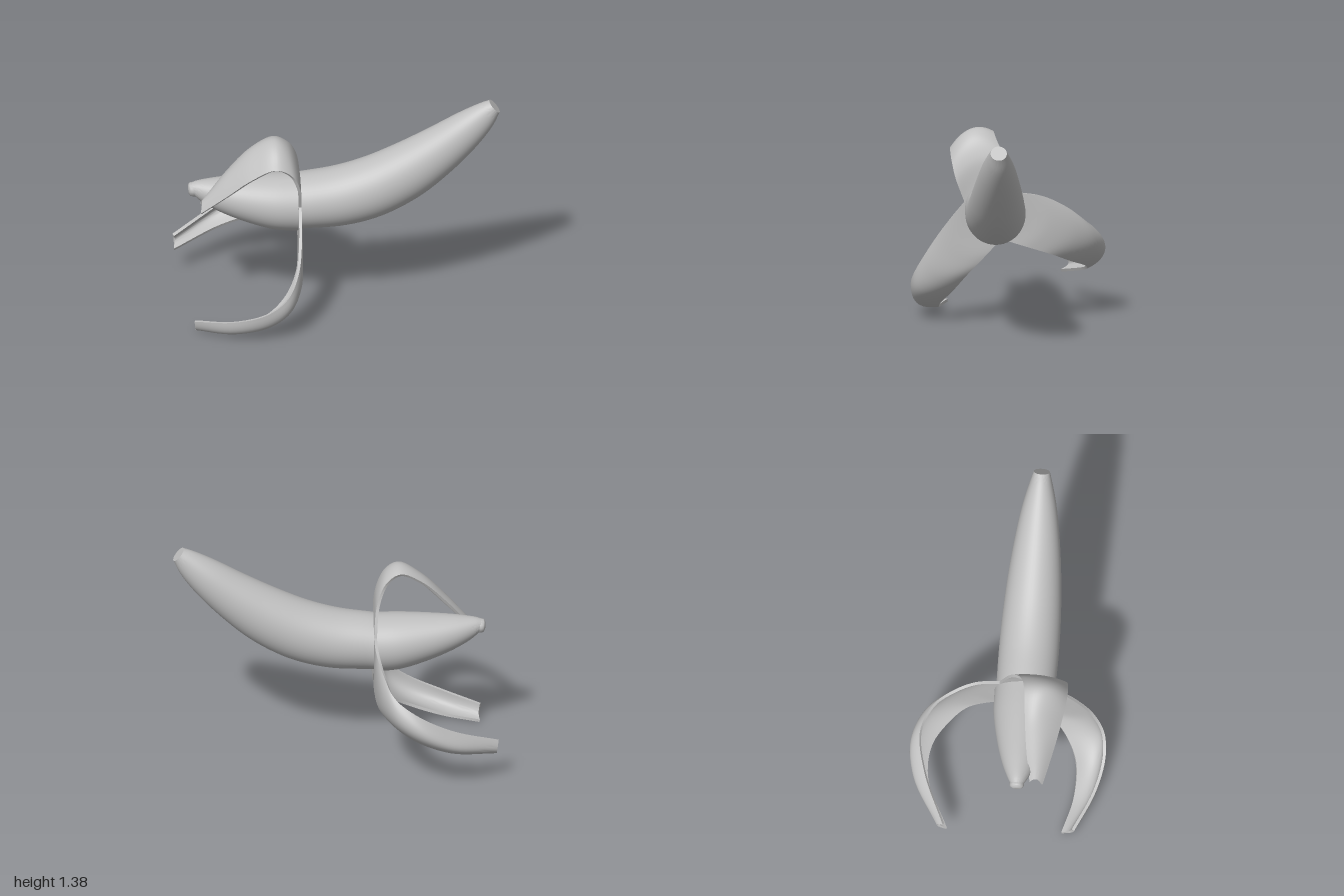
import * as THREE from 'three';
import { toCreasedNormals } from 'three/addons/utils/BufferGeometryUtils.js';

const V = (a) => new THREE.Vector3(...a);
const CENTRE_Z = 0.085;

// Closed solid from a row of loops with equal (even) point counts
function loft(loops) {
  const n = loops[0].length, last = (loops.length - 1) * n;
  const pos = loops.flat().flatMap((p) => [p.x, p.y, p.z]);
  const index = [];
  const quad = (a, b, c, d) => index.push(a, b, c, a, c, d);
  for (let j = 0; j < last; j += n)
    for (let i = 0; i < n; i++) {
      const k = (i + 1) % n;
      quad(j + i, j + k, j + n + k, j + n + i);
    }
  // end caps, zipped across the loop
  for (let i = 0; i < n / 2 - 1; i++) {
    quad(last + i, last + i + 1, last + n - 2 - i, last + n - 1 - i);
    quad(n - 1 - i, n - 2 - i, i + 1, i);
  }
  const g = new THREE.BufferGeometry();
  g.setAttribute('position', new THREE.Float32BufferAttribute(pos, 3));
  g.setIndex(index);
  return toCreasedNormals(g, 0.7);
}

// Bent tapering body: each section is [topX, topY, bottomX, bottomY, halfWidth]
function tapered(sections, steps = 40, sides = 48) {
  const top = new THREE.CatmullRomCurve3(sections.map((s) => V([s[0], s[1], s[4]])));
  const bottom = new THREE.CatmullRomCurve3(sections.map((s) => V([s[2], s[3], s[4]])));
  const loops = [];
  for (let j = 0; j <= steps; j++) {
    const a = top.getPoint(j / steps), b = bottom.getPoint(j / steps);
    const loop = [];
    for (let i = 0; i < sides; i++) {
      const t = (i / sides) * Math.PI * 2, c = Math.cos(t) / 2;
      loop.push(new THREE.Vector3(
        (a.x + b.x) / 2 + (a.x - b.x) * c,
        (a.y + b.y) / 2 + (a.y - b.y) * c,
        CENTRE_Z + Math.sin(t) * a.z));
    }
    loops.push(loop);
  }
  return loft(loops);
}

// Curled peel flap: stations of [edge, middle, edge], arched across and thickened inward
function flap(stations, thickness = 0.018, steps = 40, across = 14) {
  const [P, M, Q] = [0, 1, 2].map((k) => new THREE.CatmullRomCurve3(stations.map((s) => V(s[k]))));
  const at = (u, v) => {
    const p = P.getPoint(v), m = M.getPoint(v), q = Q.getPoint(v);
    const ctrl = m.multiplyScalar(2).addScaledVector(p, -0.5).addScaledVector(q, -0.5);
    return p.multiplyScalar((1 - u) ** 2).addScaledVector(ctrl, 2 * u * (1 - u)).addScaledVector(q, u * u);
  };
  const e = 0.01, loops = [];
  for (let j = 0; j <= steps; j++) {
    const v = j / steps, outer = [], inner = [];
    for (let i = 0; i <= across; i++) {
      const u = i / across, p = at(u, v);
      const du = at(u + e, v).sub(at(u - e, v));
      const dv = at(u, Math.min(1, v + e)).sub(at(u, Math.max(0, v - e)));
      outer.push(p);
      inner.unshift(p.clone().addScaledVector(du.cross(dv).normalize(), -thickness));
    }
    loops.push([...outer, ...inner]);
  }
  return loft(loops);
}

export function createModel() {
  const group = new THREE.Group();
  const grey = new THREE.MeshStandardMaterial({ color: 0xbfbfbf });
  grey.name = 'grey';
  const add = (name, geometry) => {
    const mesh = new THREE.Mesh(geometry, grey);
    mesh.name = name;
    group.add(mesh);
  };

  // Unpeeled lower half with its cut stem
  add('peelBody', tapered([
    [-0.24, 0.91, -0.24, 0.56, 0.182],
    [-0.03, 0.945, 0.04, 0.575, 0.185],
    [0.15, 1.0, 0.27, 0.635, 0.18],
    [0.34, 1.085, 0.5, 0.76, 0.165],
    [0.54, 1.19, 0.69, 0.92, 0.14],
    [0.74, 1.305, 0.85, 1.09, 0.105],
    [0.87, 1.37, 0.945, 1.22, 0.07],
    [0.925, 1.39, 0.99, 1.315, 0.05],
  ]));

  // Exposed fruit, from tip to peel
  add('fruit', tapered([
    [-0.905, 0.875, -0.885, 0.785, 0.042],
    [-0.87, 0.885, -0.84, 0.745, 0.062],
    [-0.76, 0.897, -0.74, 0.685, 0.105],
    [-0.6, 0.905, -0.58, 0.615, 0.15],
    [-0.4, 0.91, -0.4, 0.56, 0.185],
    [-0.24, 0.908, -0.24, 0.545, 0.19],
  ]));

  // Blunt nub at the tip
  add('fruitTip', tapered([
    [-0.93, 0.85, -0.925, 0.805, 0.024],
    [-0.92, 0.872, -0.91, 0.788, 0.042],
    [-0.88, 0.874, -0.87, 0.786, 0.045],
  ], 8, 12));

  // Three peel flaps curling back
  add('topFlap', flap([
    [[-0.24, 0.78, 0.27], [-0.24, 0.915, 0.115], [-0.24, 0.835, -0.075]],
    [[-0.25, 0.93, 0.325], [-0.26, 1.05, 0.18], [-0.26, 1.02, 0]],
    [[-0.3, 1.04, 0.35], [-0.32, 1.165, 0.22], [-0.32, 1.14, 0.065]],
    [[-0.4, 1.09, 0.355], [-0.4, 1.205, 0.23], [-0.41, 1.19, 0.09]],
    [[-0.55, 1.01, 0.33], [-0.54, 1.135, 0.21], [-0.55, 1.12, 0.105]],
    [[-0.7, 0.88, 0.29], [-0.69, 0.985, 0.21], [-0.7, 0.97, 0.125]],
    [[-0.86, 0.74, 0.24], [-0.85, 0.8, 0.2], [-0.86, 0.77, 0.16]],
  ]));
  add('frontFlap', flap([
    [[-0.24, 0.545, 0.045], [-0.24, 0.6, 0.222], [-0.24, 0.78, 0.27]],
    [[-0.24, 0.43, 0.15], [-0.235, 0.45, 0.33], [-0.245, 0.62, 0.4]],
    [[-0.26, 0.32, 0.25], [-0.25, 0.31, 0.44], [-0.27, 0.45, 0.51]],
    [[-0.33, 0.2, 0.34], [-0.32, 0.19, 0.53], [-0.34, 0.31, 0.58]],
    [[-0.46, 0.1, 0.41], [-0.45, 0.1, 0.55], [-0.47, 0.21, 0.595]],
    [[-0.67, 0.025, 0.415], [-0.67, 0.045, 0.52], [-0.67, 0.14, 0.55]],
    [[-0.9, 0.005, 0.36], [-0.9, 0.03, 0.42], [-0.91, 0.095, 0.44]],
  ]));
  add('backFlap', flap([
    [[-0.24, 0.545, 0.045], [-0.24, 0.66, -0.09], [-0.24, 0.835, -0.075]],
    [[-0.24, 0.49, -0.13], [-0.245, 0.63, -0.26], [-0.25, 0.81, -0.22]],
    [[-0.27, 0.44, -0.27], [-0.29, 0.56, -0.42], [-0.29, 0.735, -0.36]],
    [[-0.36, 0.38, -0.38], [-0.38, 0.48, -0.535], [-0.36, 0.63, -0.48]],
    [[-0.5, 0.32, -0.475], [-0.53, 0.41, -0.598], [-0.5, 0.54, -0.545]],
    [[-0.7, 0.25, -0.485], [-0.73, 0.32, -0.565], [-0.72, 0.41, -0.5]],
    [[-0.99, 0.17, -0.345], [-0.99, 0.22, -0.4], [-1, 0.275, -0.365]],
  ].map((s) => s.reverse())));

  return group;
}
